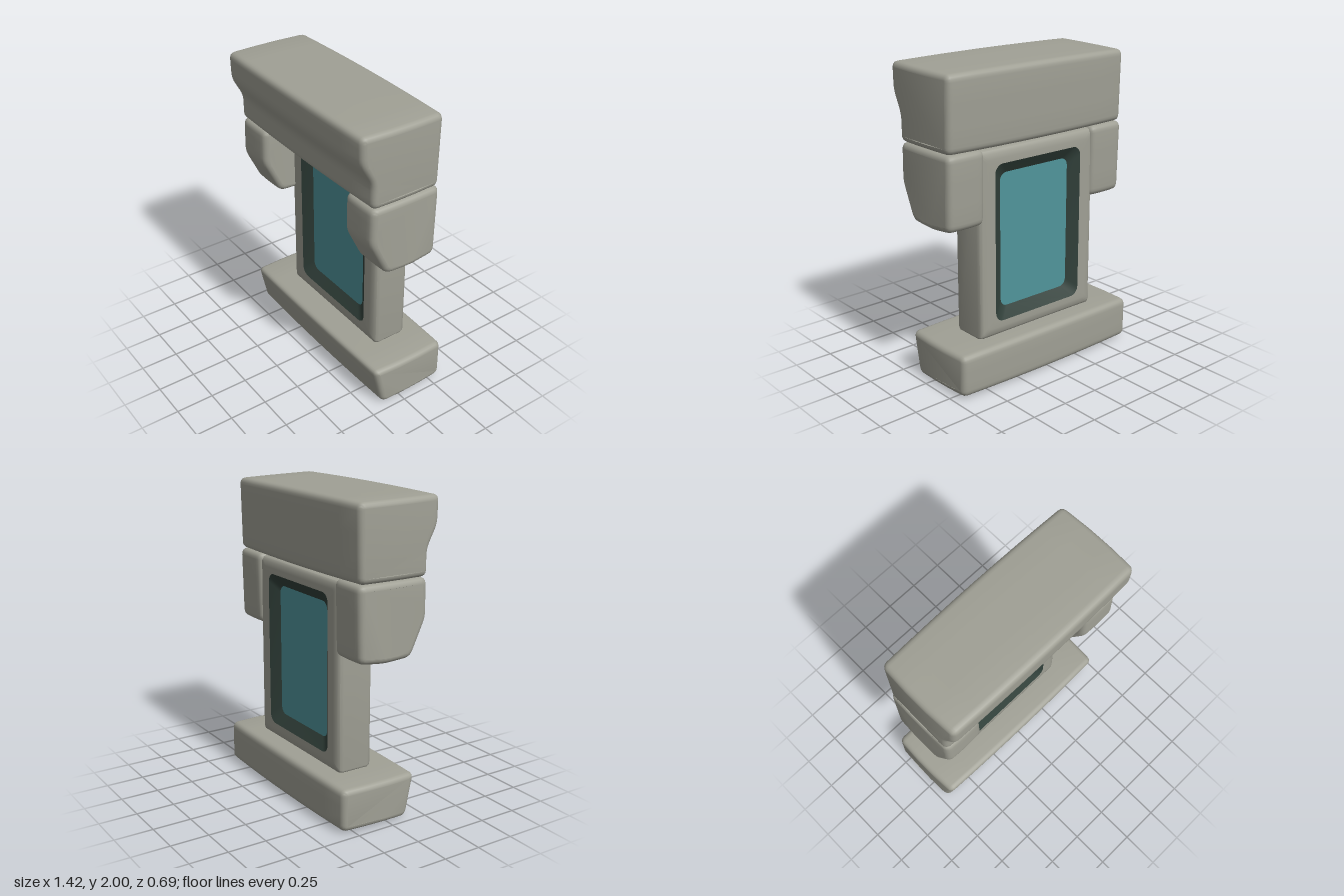
import * as THREE from 'three';
import { toCreasedNormals } from 'three/addons/utils/BufferGeometryUtils.js';

const stone = new THREE.MeshStandardMaterial({ color: 0xa0a095 });
stone.name = 'stone';
const dark = new THREE.MeshStandardMaterial({ color: 0x31403a });
dark.name = 'dark recess';
const teal = new THREE.MeshStandardMaterial({ color: 0x50959b });
teal.name = 'teal panel';

// Closed outline of [z, y] corners with rounded corners and subdivided edges
function roundedOutline(corners, r) {
  const pts = corners.map(([a, b]) => new THREE.Vector2(a, b));
  const shape = new THREE.Shape();
  const n = pts.length;
  pts.forEach((p, i) => {
    const toPrev = pts[(i + n - 1) % n].clone().sub(p).setLength(r).add(p);
    const toNext = pts[(i + 1) % n].clone().sub(p).setLength(r).add(p);
    if (i === 0) shape.moveTo(toPrev.x, toPrev.y);
    shape.quadraticCurveTo(p.x, p.y, toNext.x, toNext.y);
    const q = pts[(i + 1) % n];
    const end = p.clone().sub(q).setLength(r).add(q);
    for (let k = 1; k <= 3; k++) {
      if (k === 3 && i === n - 1) break;
      const m = toNext.clone().lerp(end, k / 3);
      shape.lineTo(m.x, m.y);
    }
  });
  return shape;
}

// Soft block: side profile swept across x, with rounded edges and gently bulging faces
function softBlock(name, corners, width, centreX, bulge) {
  const b = 0.035;
  const geo = new THREE.ExtrudeGeometry(roundedOutline(corners, 0.045), {
    depth: width - 2 * b, steps: 8, curveSegments: 5,
    bevelThickness: b, bevelSize: b, bevelOffset: -b, bevelSegments: 4,
  });
  geo.translate(0, 0, b - width / 2);
  geo.rotateY(-Math.PI / 2);
  geo.computeBoundingBox();
  const c = geo.boundingBox.getCenter(new THREE.Vector3());
  const h = geo.boundingBox.getSize(new THREE.Vector3()).multiplyScalar(0.5);
  const pos = geo.attributes.position;
  for (let i = 0; i < pos.count; i++) {
    const u = pos.getX(i) / h.x;
    const v = (pos.getZ(i) - c.z) / h.z;
    const w = (pos.getY(i) - c.y) / h.y;
    pos.setXYZ(i,
      pos.getX(i) - bulge * u * v * v,
      pos.getY(i) - 0.5 * bulge * w * u * u,
      pos.getZ(i) - bulge * v * u * u);
  }
  const mesh = new THREE.Mesh(toCreasedNormals(geo, 0.65), stone);
  mesh.name = name;
  mesh.position.x = centreX;
  return mesh;
}

// Rounded rectangle points, counterclockwise from the front
function ringPoints(hw, hh, r) {
  const out = [];
  for (let q = 0; q < 4; q++) {
    const sx = q === 0 || q === 3 ? 1 : -1;
    const sy = q < 2 ? 1 : -1;
    for (let k = 0; k <= 5; k++) {
      const a = (q + k / 5) * Math.PI / 2;
      out.push(new THREE.Vector2(sx * (hw - r) + r * Math.cos(a), sy * (hh - r) + r * Math.sin(a)));
    }
  }
  return out;
}

// Strip of surface joining successive [halfWidth, halfHeight, radius, z] rings
function loft(name, rings, material) {
  const verts = [];
  const index = [];
  const n = 24;
  rings.forEach(([hw, hh, r, z], j) => {
    ringPoints(hw, hh, r).forEach((p, i) => {
      verts.push(p.x, p.y, z);
      if (j === 0) return;
      const i2 = (i + 1) % n;
      const a = (j - 1) * n + i, a2 = (j - 1) * n + i2;
      const b = j * n + i, b2 = j * n + i2;
      index.push(a, b, b2, a, b2, a2);
    });
  });
  const geo = new THREE.BufferGeometry();
  geo.setAttribute('position', new THREE.Float32BufferAttribute(verts, 3));
  geo.setIndex(index);
  const mesh = new THREE.Mesh(toCreasedNormals(geo.toNonIndexed(), 0.7), material);
  mesh.name = name;
  return mesh;
}

export function createModel() {
  const model = new THREE.Group();
  model.name = 'stone gateway';

  // Plinth and overhanging lintel
  model.add(softBlock('base',
    [[0.15, 0], [0.215, 0.29], [-0.345, 0.29], [-0.345, 0.01]], 1.42, 0, 0.012));
  model.add(softBlock('lintel',
    [[0.265, 1.51], [0.265, 1.68], [0.345, 1.82], [0.35, 2.0], [-0.245, 1.99], [-0.235, 1.51]],
    1.42, 0, 0.012));

  // Hanging side brackets
  for (const side of [-1, 1]) {
    model.add(softBlock(side > 0 ? 'leftBracket' : 'rightBracket',
      [[0.15, 1.035], [0.265, 1.27], [0.26, 1.515], [-0.235, 1.515], [-0.225, 1.045], [-0.04, 1.025]],
      0.28, side * 0.57, 0.006));
  }

  // Window frame with matching front and back faces
  const window = new THREE.Group();
  window.name = 'window';
  window.position.set(0, 0.89, -0.0875);
  const front = [
    [0.35, 0.513, 0.06, 0.1275],
    [0.41, 0.55, 0.02, 0.1275],
    [0.445, 0.585, 0.02, 0.123],
    [0.463, 0.603, 0.02, 0.111],
    [0.47, 0.61, 0.02, 0.09],
  ];
  const mirrorZ = (rings) => rings.map(([w, h, r, z]) => [w, h, r, -z]).reverse();
  window.add(loft('frame', [...front, ...mirrorZ(front)], stone));

  // Sloping recess on both sides
  const slope = [[0.277, 0.44, 0.05, 0.0825], [0.35, 0.513, 0.06, 0.1275]];
  window.add(loft('frontRecess', slope, dark));
  window.add(loft('backRecess', mirrorZ(slope), dark));

  // Panel filling the opening
  const paneGeo = new THREE.ExtrudeGeometry(new THREE.Shape(ringPoints(0.277, 0.44, 0.05)),
    { depth: 0.165, bevelEnabled: false });
  paneGeo.translate(0, 0, -0.0825);
  const pane = new THREE.Mesh(paneGeo, teal);
  pane.name = 'panel';
  window.add(pane);
  model.add(window);

  return model;
}
